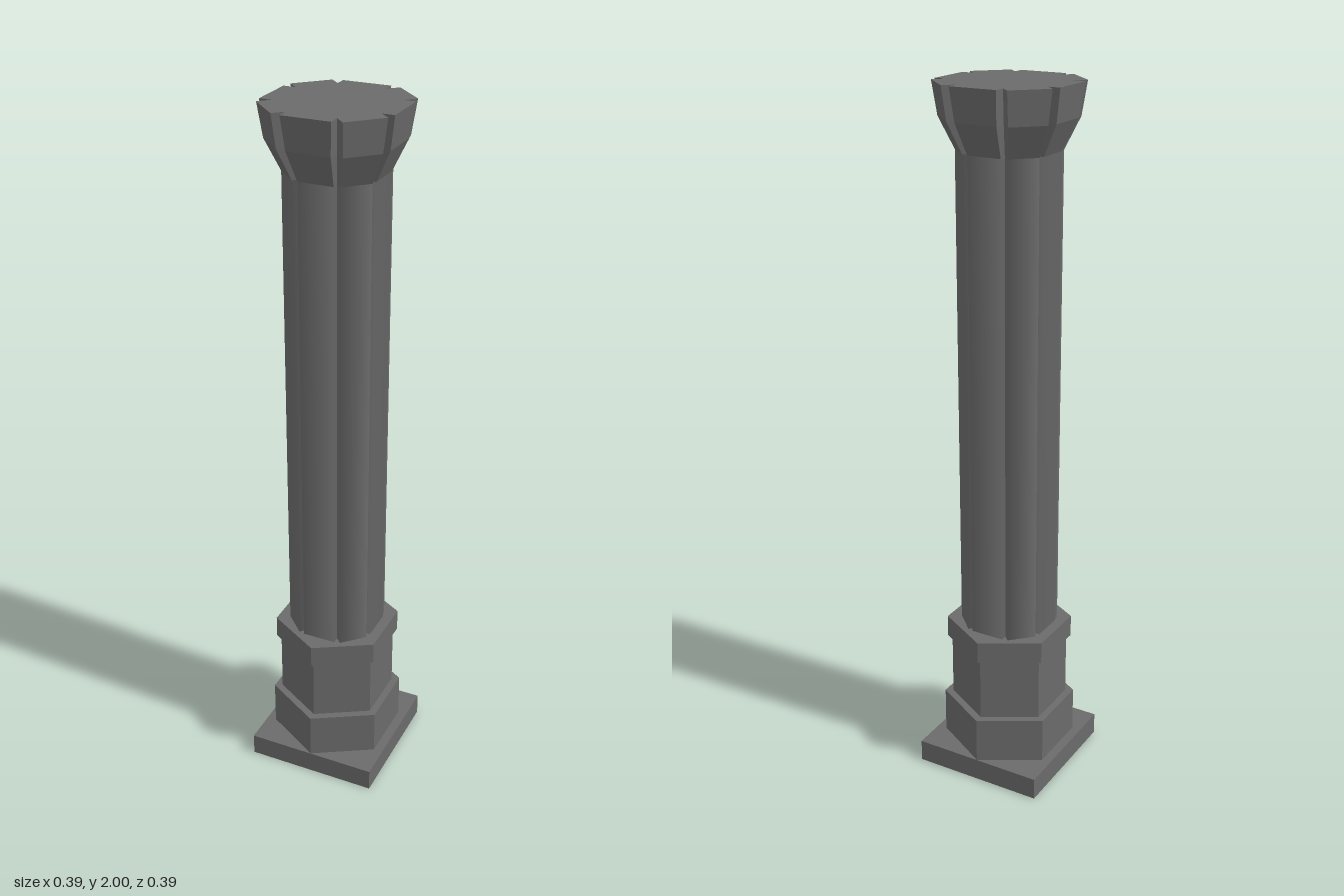
import * as THREE from 'three';

export function createModel() {
  const model = new THREE.Group();
  const stone = new THREE.MeshStandardMaterial({ color: 0x6b6b6b });
  stone.name = 'greyStone';

  const add = (name, geometry, parent = model) => {
    const mesh = new THREE.Mesh(geometry, stone);
    mesh.name = name;
    parent.add(mesh);
    return mesh;
  };
  const flat = (geometry) => {
    const g = geometry.toNonIndexed();
    g.computeVertexNormals();
    return g;
  };

  // Square plinth
  add('plinth', new THREE.BoxGeometry(0.388, 0.065, 0.388).translate(0, 0.0325, 0));

  // Hexagonal pedestal, corners pointing to the front and back
  const hexagon = (name, radius, y0, y1) =>
    add(name, flat(new THREE.CylinderGeometry(radius, radius, y1 - y0, 6)).translate(0, (y0 + y1) / 2, 0));
  hexagon('pedestalFoot', 0.193, 0.065, 0.2);
  hexagon('pedestalBody', 0.169, 0.2, 0.39);
  hexagon('pedestalCap', 0.182, 0.39, 0.455);

  // Diagonal ribs reach slightly further out and are narrower
  const reachScale = (i) => (i % 2 ? 1.05 : 1);
  const widthScale = (i) => (i % 2 ? 0.85 : 1);

  // Shaft: eight square ribs with softened shading
  const shaft = new THREE.Group();
  shaft.name = 'shaft';
  model.add(shaft);
  for (let i = 0; i < 8; i++) {
    const w = 0.049 * widthScale(i);
    const r = 0.128 * reachScale(i);
    const rib = new THREE.CylinderGeometry(w * Math.SQRT2, w * Math.SQRT2, 1.375, 4, 1, true, Math.PI / 4);
    rib.translate(0, 1.1425, r - w).rotateY((i * Math.PI) / 4);
    add('shaftRib', rib, shaft);
  }

  // Capital: four crossing bars that flare upward in two steps
  const capital = new THREE.Group();
  capital.name = 'capital';
  model.add(capital);
  const rings = [
    { y: 1.825, r: 0.128, w: 0.049 },
    { y: 1.91, r: 0.168, w: 0.06 },
    { y: 2, r: 0.181, w: 0.067 },
  ];
  for (let i = 0; i < 4; i++) {
    const bar = new THREE.BoxGeometry(2, 2, 2, 1, 2, 1);
    const p = bar.attributes.position;
    for (let v = 0; v < p.count; v++) {
      const ring = rings[Math.round(p.getY(v)) + 1];
      p.setXYZ(v, p.getX(v) * ring.w * widthScale(i), ring.y, p.getZ(v) * ring.r * reachScale(i));
    }
    add('capitalBar', flat(bar).rotateY((i * Math.PI) / 4), capital);
  }

  return model;
}
